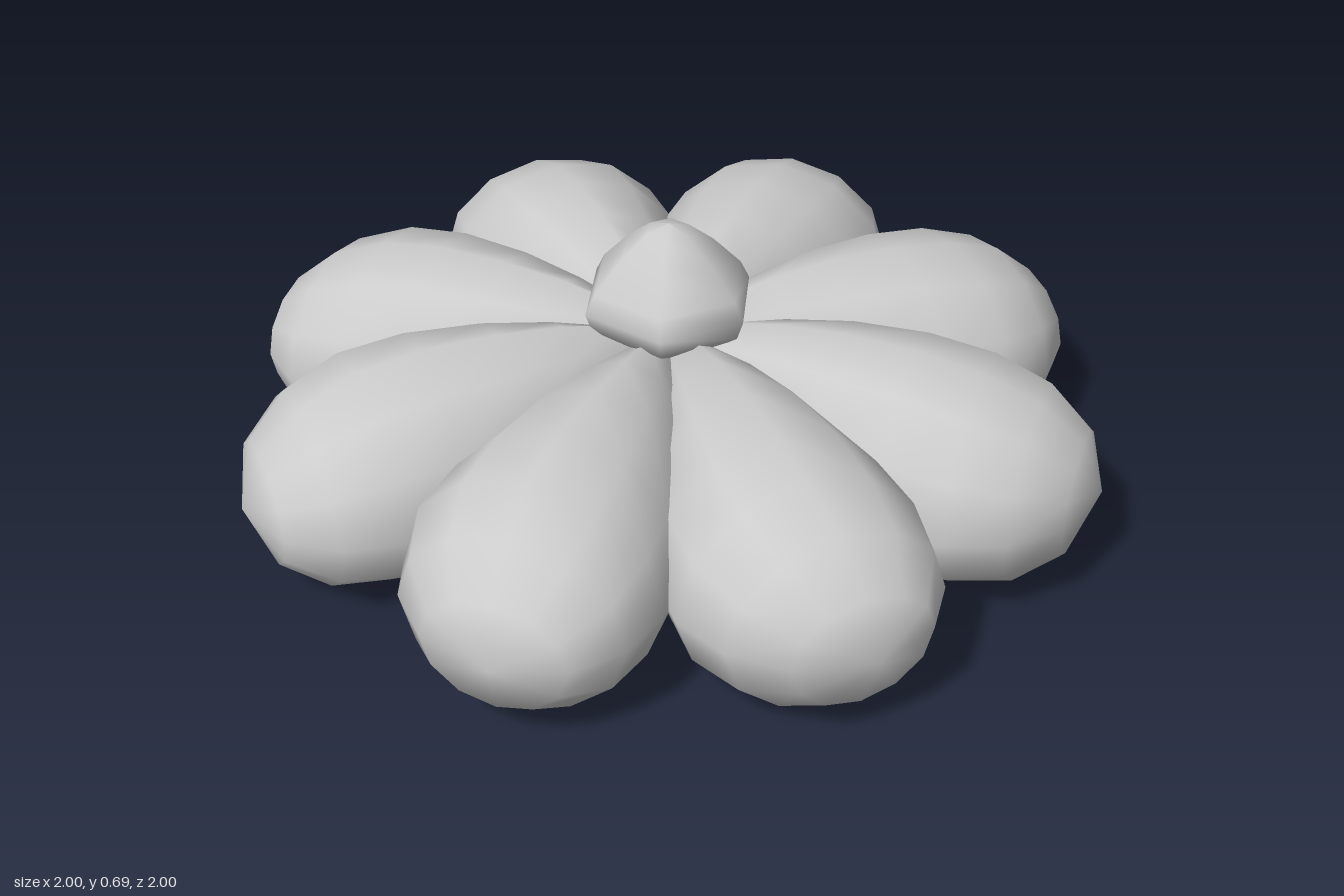
import * as THREE from 'three';
import { mergeVertices } from 'three/addons/utils/BufferGeometryUtils.js';

const SIDES = 12;
const MID = 0.235;

// Petal cross-sections: distance from centre, half width, top y, bottom y, sideways shift
const SECTIONS = [
  [0.03, 0.045, 0.44, 0.13, 0],
  [0.12, 0.097, 0.47, 0.09, 0],
  [0.25, 0.165, 0.497, 0.045, -0.003],
  [0.40, 0.23, 0.512, 0.016, -0.01],
  [0.57, 0.275, 0.512, 0.006, -0.02],
  [0.72, 0.288, 0.49, 0.006, -0.025],
  [0.85, 0.25, 0.44, 0.026, -0.017],
  [0.95, 0.16, 0.355, 0.10, -0.01],
  [1.00, 0.00, MID, MID, 0],
];

// Plump teardrop petal lofted along +z
function petalGeometry() {
  const positions = [];
  const indices = [];
  SECTIONS.forEach(([r, w, top, bottom, shift], i) => {
    for (let k = 0; k < SIDES; k++) {
      const a = (k / SIDES) * Math.PI * 2;
      const s = Math.sin(a);
      const y = MID + s * (s > 0 ? top - MID : MID - bottom);
      positions.push(Math.cos(a) * w + shift, y, r);
      if (i === SECTIONS.length - 1) continue;
      const a0 = i * SIDES + k;
      const b0 = i * SIDES + (k + 1) % SIDES;
      indices.push(a0, b0, a0 + SIDES);
      if (i < SECTIONS.length - 2) indices.push(b0, b0 + SIDES, a0 + SIDES);
    }
  });
  const geometry = new THREE.BufferGeometry();
  geometry.setAttribute('position', new THREE.Float32BufferAttribute(positions, 3));
  geometry.setIndex(indices);
  const merged = mergeVertices(geometry, 1e-4);
  merged.computeVertexNormals();
  return merged;
}

export function createModel() {
  const model = new THREE.Group();
  model.name = 'flower';
  const material = new THREE.MeshStandardMaterial({ color: 0xcccccc, side: THREE.DoubleSide });

  // Ring of eight petals
  const petals = new THREE.Group();
  petals.name = 'petals';
  const petal = petalGeometry();
  for (let i = 0; i < 8; i++) {
    const mesh = new THREE.Mesh(petal, material);
    mesh.name = `petal${i + 1}`;
    mesh.rotation.y = (i * Math.PI) / 4;
    petals.add(mesh);
  }
  model.add(petals);

  // Six-sided pointed bud in the centre
  const profile = [[0, 0.4], [0.12, 0.42], [0.185, 0.47], [0.2, 0.515], [0.178, 0.56], [0.11, 0.635], [0.05, 0.685], [0, 0.7]]
    .map(([x, y]) => new THREE.Vector2(x, y));
  const bud = new THREE.Mesh(new THREE.LatheGeometry(profile, 6), material);
  bud.name = 'centreBud';
  bud.rotation.y = Math.PI / 2;
  model.add(bud);

  return model;
}
